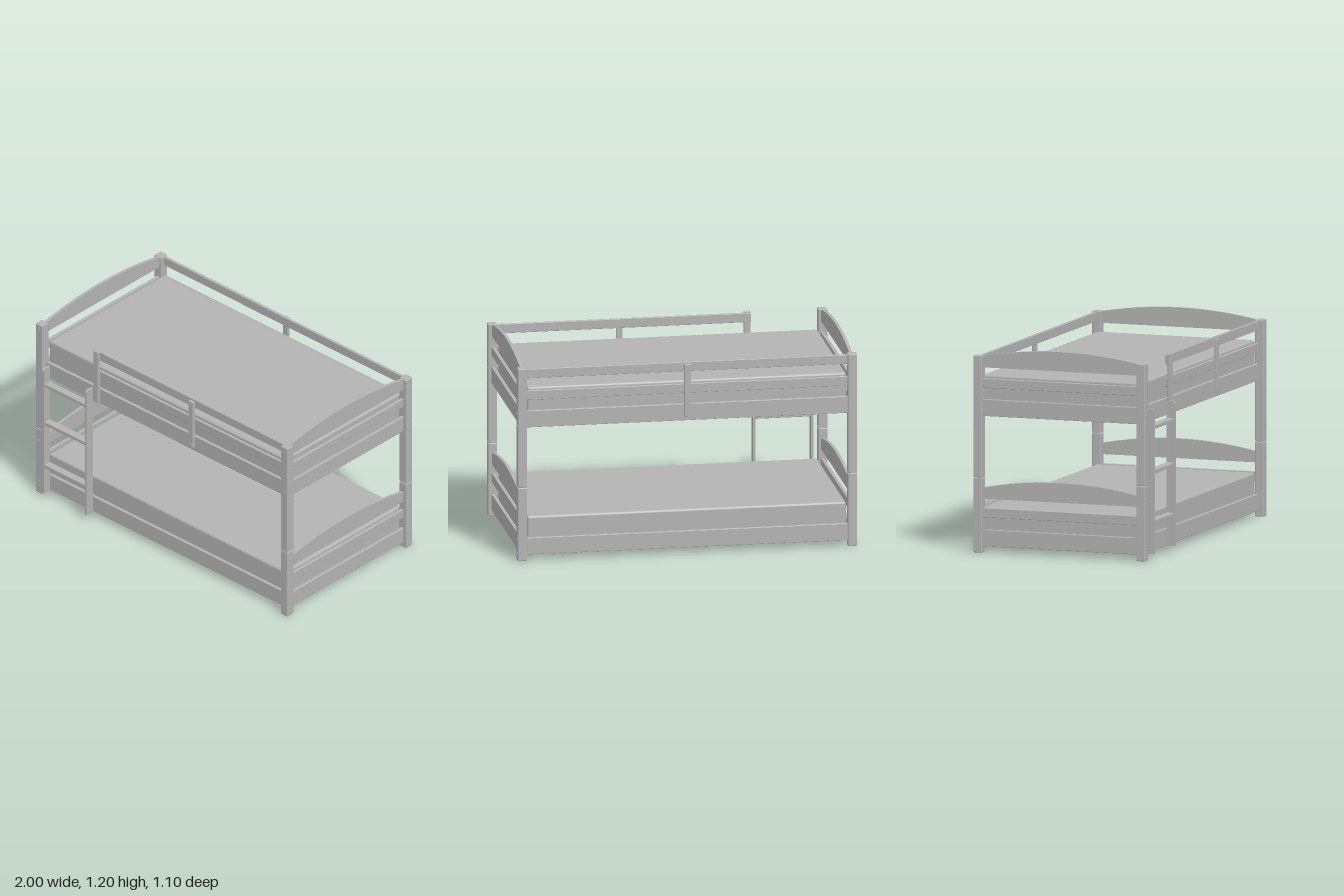
import * as THREE from 'three';
import { RoundedBoxGeometry } from 'three/addons/geometries/RoundedBoxGeometry.js';

export function createModel() {
  const model = new THREE.Group();
  model.name = 'bunkBed';
  const paint = new THREE.MeshStandardMaterial({ color: 0xb3b3b3 });
  paint.name = 'grey paint';

  const add = (name, geometry, parent = model) => {
    const mesh = new THREE.Mesh(geometry, paint);
    mesh.name = name;
    parent.add(mesh);
    return mesh;
  };
  // Box given by its limits on each axis, with optional rounded edges
  const box = (name, x0, x1, y0, y1, z0, z1, r = 0.003, parent = model) => {
    const s = [x1 - x0, y1 - y0, z1 - z0];
    const g = r ? new RoundedBoxGeometry(...s, 2, r) : new THREE.BoxGeometry(...s);
    g.translate((x0 + x1) / 2, (y0 + y1) / 2, (z0 + z1) / 2);
    return add(name, g, parent);
  };
  // Small bolt head facing along x or z
  const bolt = (x, y, z, axis) => {
    const g = new THREE.CylinderGeometry(0.008, 0.008, 0.004, 12);
    if (axis === 'x') g.rotateZ(Math.PI / 2);
    else g.rotateX(Math.PI / 2);
    add('bolt', g.translate(x, y, z));
  };

  const FRONT = 0.494, BACK = -0.518; // post centres
  const H = 0.027;

  // Corner posts, each in a lower and an upper piece
  for (const s of [-1, 1]) {
    for (const z of [FRONT, BACK]) {
      const x = s * 0.973;
      box('lowerPost', x - H, x + H, 0, 0.439, z - H, z + H, 0.005);
      box('upperPost', x - H, x + H, 0.441, 1.155, z - H, z + H, 0.005);
      const face = z === FRONT ? z + H : z - H;
      for (const y of [0.085, 0.36, 0.85, 1.13]) bolt(x, y, face, 'z');
      const ys = [0.045, 0.12, 0.81, 0.885];
      if (z === FRONT) ys.push(1.01, 1.14);
      for (const y of ys) bolt(s * 1.0, y, z, 'x');
    }
  }

  // Arched end board, curved along its top edge
  const archGeometry = (bottom, shoulder, peak) => {
    const z0 = BACK + H, z1 = FRONT - H;
    const shape = new THREE.Shape();
    shape.moveTo(z0, bottom);
    shape.lineTo(z1, bottom);
    shape.lineTo(z1, shoulder);
    shape.quadraticCurveTo((z0 + z1) / 2, 2 * peak - shoulder, z0, shoulder);
    shape.closePath();
    const g = new THREE.ExtrudeGeometry(shape, { depth: 0.018, bevelEnabled: false, curveSegments: 32 });
    return g.translate(0, 0, -0.009).rotateY(-Math.PI / 2);
  };

  // One bunk: side rails, ends, ledges, slats and mattress
  const bunk = (name, base, top, endRail, arch) => {
    const g = new THREE.Group();
    g.name = name;
    model.add(g);
    box('mattress', -0.94, 0.94, base + 0.055, top, -0.512, 0.47, 0.014, g);
    box('frontRail', -0.946, 0.946, base, base + 0.1, 0.472, 0.492, 0.003, g);
    box('backRail', -0.946, 0.946, base, base + 0.1, -0.533, -0.513, 0.003, g);
    box('frontLedge', -0.93, 0.93, base + 0.005, base + 0.03, 0.447, 0.472, 0, g);
    box('backLedge', -0.93, 0.93, base + 0.005, base + 0.03, -0.513, -0.488, 0, g);
    for (let i = 0; i < 9; i++) {
      const x = -0.89 + i * 0.2225;
      box('slat', x - 0.028, x + 0.028, base + 0.03, base + 0.055, -0.508, 0.468, 0, g);
    }
    for (const s of [-1, 1]) {
      const x = s * 0.97;
      box('endRail', x - 0.01, x + 0.01, base, base + 0.098, BACK, FRONT, 0.003, g);
      box('upperEndRail', x - 0.01, x + 0.01, endRail, endRail + 0.055, BACK, FRONT, 0.003, g);
      add('archedEndBoard', archGeometry(...arch), g).position.x = x;
    }
  };
  bunk('lowerBunk', 0.035, 0.26, 0.205, [0.315, 0.38, 0.43]);
  bunk('upperBunk', 0.8, 1.037, 0.965, [1.085, 1.153, 1.199]);

  // Guard rails: full length at the back, open by the ladder at the front
  for (const [y0, y1] of [[0.965, 1.02], [1.095, 1.15]]) {
    box('backGuardRail', -0.946, 0.946, y0, y1, -0.532, -0.514);
    box('frontGuardRail', -0.55, 0.946, y0, y1, 0.474, 0.492);
  }
  box('frontGuardUpright', -0.55, -0.513, 0.805, 1.155, 0.492, 0.512);
  box('frontGuardUpright', 0.204, 0.241, 0.825, 1.14, 0.492, 0.512);
  box('backGuardUpright', -0.019, 0.019, 0.825, 1.14, -0.551, -0.532);
  for (const x of [-0.5315, 0.2225]) {
    for (const y of [0.85, 1.12]) bolt(x, y, 0.512, 'z');
  }

  // Ladder: two thin uprights with rounded tops, and three treads
  const ladder = new THREE.Group();
  ladder.name = 'ladder';
  model.add(ladder);
  const side = new THREE.Shape();
  side.moveTo(0.496, 0.035);
  side.lineTo(0.55, 0.035);
  side.lineTo(0.55, 0.865);
  side.quadraticCurveTo(0.55, 0.887, 0.528, 0.887);
  side.lineTo(0.496, 0.887);
  side.closePath();
  for (const x of [-0.914, -0.573]) {
    const g = new THREE.ExtrudeGeometry(side, { depth: 0.014, bevelEnabled: false, curveSegments: 8 });
    g.translate(0, 0, -0.007).rotateY(-Math.PI / 2);
    // The turn above maps the profile's first axis onto +z
    add('ladderUpright', g, ladder).position.x = x;
    for (const y of [0.22, 0.515, 0.777]) bolt(x + (x < -0.7 ? -0.008 : 0.008), y, 0.533, 'x');
  }
  for (const y of [0.22, 0.515, 0.776]) {
    box('ladderTread', -0.908, -0.579, y - 0.011, y + 0.011, 0.498, 0.545, 0.003, ladder);
  }

  return model;
}
